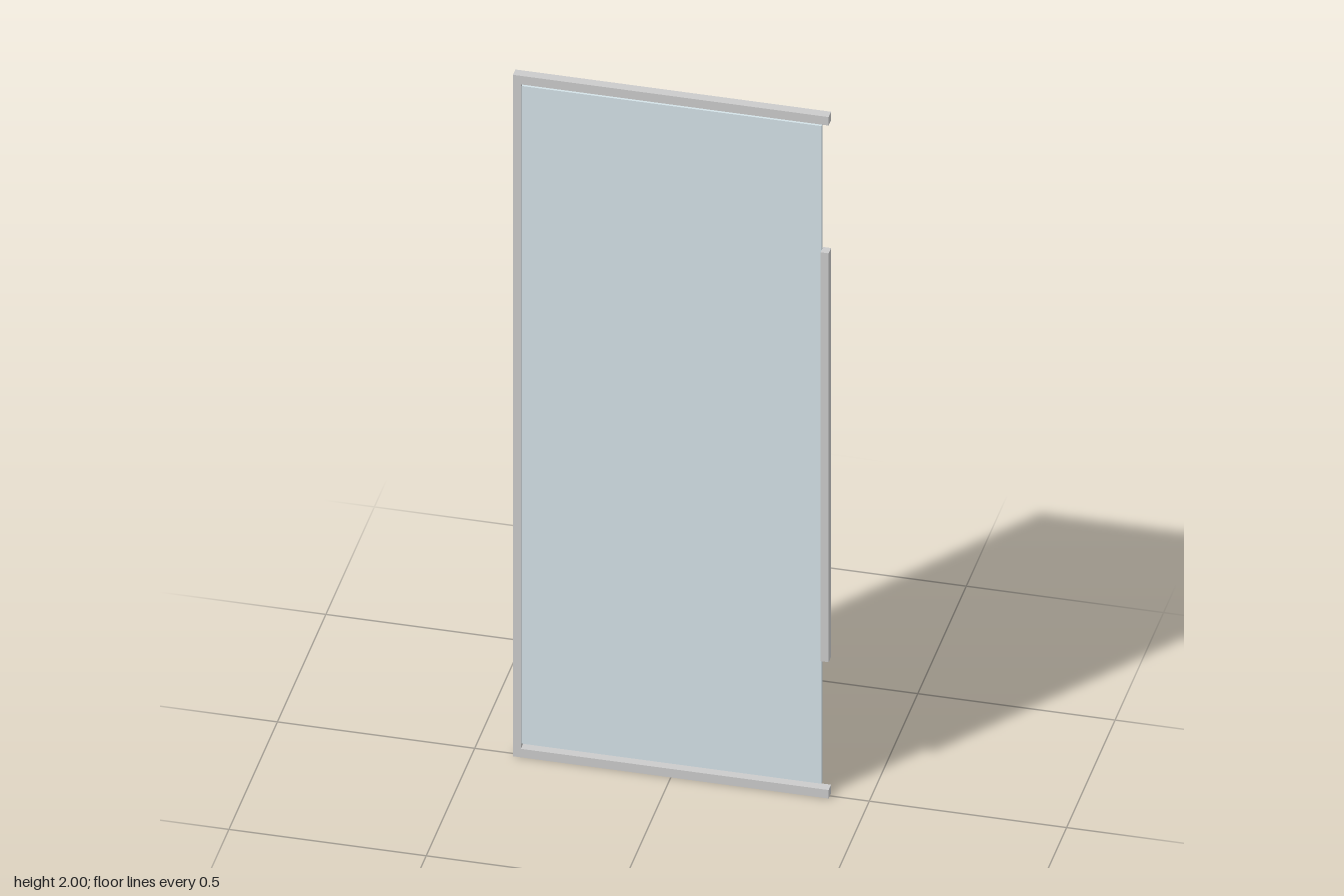
import * as THREE from 'three';

const H = 2, W = 0.8, D = 0.025; // overall height, width and frame depth
const BAR = 0.02;                // width of the upright bars
const RAIL = 0.025;              // height of the horizontal rails

export function createModel() {
  const group = new THREE.Group();
  const frame = new THREE.MeshStandardMaterial({ color: 0xcccccc });
  const glass = new THREE.MeshStandardMaterial({ color: 0xd4e2e8 });

  // Box given by its x and y limits, centred in depth
  const slab = (name, x0, x1, y0, y1, depth, material) => {
    const mesh = new THREE.Mesh(new THREE.BoxGeometry(x1 - x0, y1 - y0, depth), material);
    mesh.position.set((x0 + x1) / 2, (y0 + y1) / 2, 0);
    mesh.name = name;
    group.add(mesh);
  };

  // Top and bottom rails over the full width
  slab('bottomRail', -W / 2, W / 2, 0, RAIL, D, frame);
  slab('topRail', -W / 2, W / 2, H - RAIL, H, D, frame);

  // Upright on the hinge side, between the rails
  slab('hingeStile', -W / 2, -W / 2 + BAR, RAIL, H - RAIL, D, frame);

  // Long grip bar on the free edge
  slab('handle', W / 2 - BAR, W / 2, 0.4, 1.6, D, frame);

  // Thin pane, with a narrow gap to each rail
  slab('glassPane', -W / 2 + BAR, W / 2 - BAR, RAIL + 0.01, H - RAIL - 0.01, 0.008, glass);

  return group;
}
